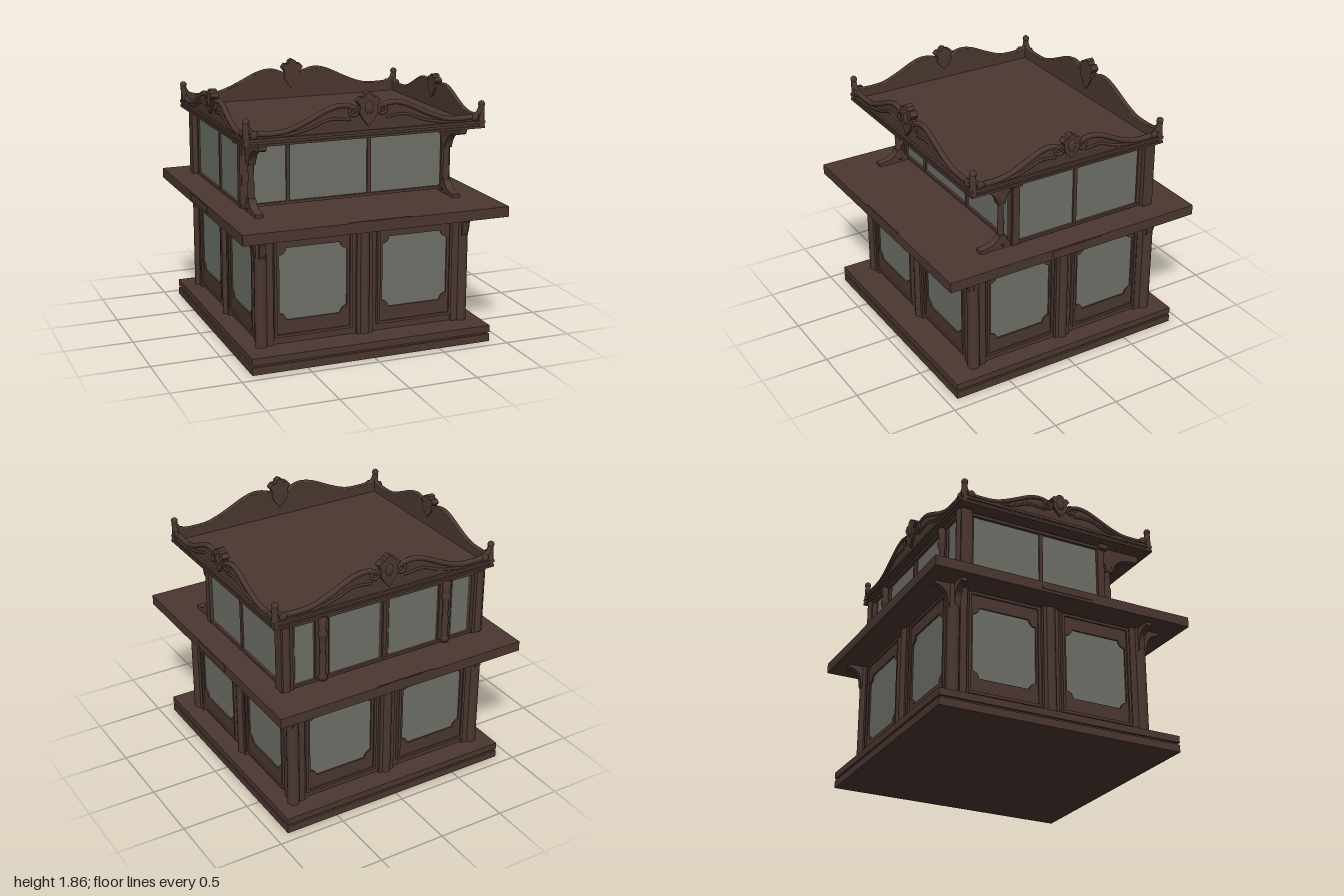
import * as THREE from 'three';

const wood = new THREE.MeshStandardMaterial({ color: 0x4b3730 });
wood.name = 'dark wood';
const glass = new THREE.MeshStandardMaterial({ color: 0x6e7068 });
glass.name = 'grey glass';

function add(parent, name, geo, x = 0, y = 0, z = 0, mat = wood) {
  const m = new THREE.Mesh(geo, mat);
  m.name = name;
  m.position.set(x, y, z);
  parent.add(m);
  return m;
}

// Box given by its limits
function block(parent, name, x0, x1, y0, y1, z0, z1, mat = wood) {
  return add(parent, name, new THREE.BoxGeometry(x1 - x0, y1 - y0, z1 - z0),
    (x0 + x1) / 2, (y0 + y1) / 2, (z0 + z1) / 2, mat);
}

// Group whose local +z points out of one side of the cabinet
function face(parent, name, angle, x, z) {
  const g = new THREE.Group();
  g.name = name;
  g.rotation.y = angle;
  g.position.set(x, 0, z);
  parent.add(g);
  return g;
}

function extrude(shape, depth, curveSegments = 8) {
  return new THREE.ExtrudeGeometry(shape, { depth, bevelEnabled: false, curveSegments });
}

function rectShape(w, y0, y1) {
  return new THREE.Shape([[-w, y0], [w, y0], [w, y1], [-w, y1]].map(p => new THREE.Vector2(...p)));
}

// Framed pane whose opening has scooped corners
function doorPanel(g, u, half, glassHalf) {
  const s = rectShape(half, -0.37, 0.37);
  const w = glassHalf, h = 0.26, r = 0.05, P = Math.PI, b = new THREE.Path();
  b.moveTo(-w + r, -h);
  b.lineTo(w - r, -h);
  b.absarc(w, -h, r, P, P / 2, true);
  b.lineTo(w, h - r);
  b.absarc(w, h, r, 1.5 * P, P, true);
  b.lineTo(-w + r, h);
  b.absarc(-w, h, r, 0, -P / 2, true);
  b.lineTo(-w, -h + r);
  b.absarc(-w, -h, r, P / 2, 0, true);
  s.holes.push(b);
  add(g, 'doorFrame', extrude(s, 0.02), u, 0.555, -0.01);
  block(g, 'doorGlass', u - w, u + w, 0.295, 0.815, -0.009, -0.001, glass);
  // Raised outer moulding
  const m = rectShape(half, 0.175, 0.925);
  m.holes.push(rectShape(half - 0.02, 0.195, 0.905));
  add(g, 'doorMoulding', extrude(m, 0.032), u, 0, -0.01);
}

// Curved bracket under the counter: flat against the wall, reaching out along local z
function counterBracket(g, u) {
  const s = new THREE.Shape();
  s.moveTo(0, 0.945);
  s.lineTo(0.14, 0.945);
  s.lineTo(0.14, 0.92);
  s.quadraticCurveTo(0.05, 0.91, 0.045, 0.82);
  s.quadraticCurveTo(0.045, 0.77, 0.015, 0.75);
  s.lineTo(0, 0.75);
  const m = add(g, 'counterBracket', extrude(s, 0.045), u - 0.0225, 0, 0);
  m.rotation.y = -Math.PI / 2;
  m.position.x = u + 0.0225;
}

// Serpentine cresting board with rim, scrolls and a central shield
function cresting(g, half, gain) {
  const pts = [[0.87, 1.72], [0.845, 1.66], [0.78, 1.635], [0.6, 1.638], [0.45, 1.69], [0.3, 1.76], [0.2, 1.785],
    [0.12, 1.772], [0.06, 1.73], [0, 1.725]].map(([x, y]) => [x * half / 0.87, 1.57 + (y - 1.57) * gain]);
  const line = [...pts.map(([x, y]) => [-x, y]), ...pts.slice(0, -1).reverse()];
  const top = new THREE.SplineCurve(line.map(p => new THREE.Vector2(...p))).getPoints(72);
  const s = new THREE.Shape([new THREE.Vector2(half, 1.56), ...top.slice().reverse(), new THREE.Vector2(-half, 1.56)].reverse());
  add(g, 'crestBoard', extrude(s, 0.025), 0, 0, -0.035);
  const path = new THREE.CatmullRomCurve3(top.filter((p, i) => i % 2 === 0).map(p => new THREE.Vector3(p.x, p.y - 0.008, -0.018)));
  add(g, 'crestRim', new THREE.TubeGeometry(path, 72, 0.019, 8), 0, 0, 0);
  // Shield
  const cy = 1.57 + 0.185 * gain;
  const sh = new THREE.Shape([[0, -0.13], [0.045, -0.075], [0.07, -0.03], [0.06, 0.01], [0.085, 0.045], [0.06, 0.075],
    [0.035, 0.07], [0.025, 0.095], [0, 0.108], [-0.025, 0.095], [-0.035, 0.07], [-0.06, 0.075], [-0.085, 0.045],
    [-0.06, 0.01], [-0.07, -0.03], [-0.045, -0.075]].map(([x, y]) => new THREE.Vector2(x * gain, y * (gain < 1 ? 0.75 : 1))));
  add(g, 'crestShield', extrude(sh, 0.055), 0, cy, -0.045);
  add(g, 'shieldBoss', new THREE.SphereGeometry(0.04, 14, 10), 0, cy, 0.005).scale.set(0.8, 1.2, 0.4);
  for (const d of [-1, 1]) {
    add(g, 'crestScroll', new THREE.TorusGeometry(0.03, 0.011, 8, 16), d * 0.105 * gain, cy - 0.02, -0.008);
    add(g, 'endRosette', new THREE.SphereGeometry(0.028, 12, 8), d * (half - 0.055), 1.625, -0.005).scale.z = 0.5;
    // Carved leaf sweep
    const sweep = new THREE.CatmullRomCurve3([[0.13, 1.68], [0.28, 1.69], [0.42, 1.64], [0.6, 1.605]]
      .map(([x, y]) => new THREE.Vector3(d * x * half / 0.87, 1.57 + (y - 1.57) * gain, -0.009)));
    add(g, 'carvedSweep', new THREE.TubeGeometry(sweep, 24, 0.01, 6), 0, 0, 0);
  }
}

// Slim turned column standing on the counter
function colonnette(g, x, z) {
  const p = [[0, 0], [0.032, 0], [0.032, 0.03], [0.022, 0.045], [0.026, 0.18], [0.019, 0.2], [0.022, 0.32], [0.034, 0.34],
    [0.036, 0.37], [0.024, 0.39], [0.034, 0.48], [0, 0.48]].map(q => new THREE.Vector2(...q));
  add(g, 'colonnette', new THREE.LatheGeometry(p, 16), x, 1.04, z);
}

export function createModel() {
  const root = new THREE.Group();
  root.name = 'cabinet';
  const H = Math.PI / 2;

  // Plinth
  block(root, 'plinthBase', -0.9, 0.9, 0, 0.055, -0.92, 0.92);
  block(root, 'plinthStep', -0.885, 0.885, 0.055, 0.07, -0.905, 0.905);
  block(root, 'plinthTop', -0.9, 0.9, 0.07, 0.12, -0.92, 0.92);

  // Lower body
  block(root, 'lowerCore', -0.76, 0.76, 0.12, 0.945, -0.76, 0.71);
  const lower = [['frontPanels', 0, 0, 0.72, 0.385, 0.29, 0.25, 0.765], ['backPanels', 2 * H, 0, -0.77, 0.385, 0.29, 0.25, 0.765],
    ['leftPanels', H, 0.77, -0.025, 0.36, 0.275, 0.24, 0.73], ['rightPanels', -H, -0.77, -0.025, 0.36, 0.275, 0.24, 0.73]];
  for (const [name, a, x, z, u, half, gh, corner] of lower) {
    const g = face(root, name, a, x, z);
    for (const d of [-1, 1]) {
      doorPanel(g, d * u, half, gh);
      counterBracket(g, d * corner);
      block(g, 'stile', d * (corner - 0.06) - 0.025, d * (corner - 0.06) + 0.025, 0.12, 0.945, -0.02, 0.012);
    }
    block(g, 'centrePost', -0.06, 0.06, 0.12, 0.945, -0.02, 0.015);
    add(g, 'centreColumn', new THREE.CylinderGeometry(0.035, 0.035, 0.82, 16), 0, 0.533, 0.005);
  }
  for (const x of [-0.765, 0.765]) for (const z of [-0.765, 0.71])
    add(root, 'cornerColumn', new THREE.CylinderGeometry(0.043, 0.043, 0.825, 18), x, 0.532, z);

  // Counter with thin edge plates
  block(root, 'counter', -0.98, 0.98, 0.945, 1.02, -1, 1);
  for (const d of [-1, 1]) {
    add(root, 'sideEdgePlate', new THREE.BoxGeometry(0.008, 0.05, 0.4), d * 0.981, 0.99, 0);
    add(root, 'endEdgePlate', new THREE.BoxGeometry(0.46, 0.012, 0.008), 0, 1.02, d * 0.995);
  }

  // Upper display case, raised on small pads
  block(root, 'upperCore', -0.77, 0.77, 1.035, 1.525, -0.71, 0.395);
  for (const x of [-0.49, 0, 0.49]) for (const z of [-0.5, 0.3]) {
    add(root, 'pad', new THREE.BoxGeometry(0.06, 0.02, 0.06), x, 1.027, z);
    add(root, 'topPad', new THREE.BoxGeometry(0.06, 0.025, 0.06), x, 1.535, z);
  }
  // Each side: position, half width, panes and bars
  const upper = [
    ['frontCase', 0, 0, 0.4, 0.8, [[-0.73, -0.46], [-0.44, 0.15], [0.18, 0.73]], [-0.45, 0.165]],
    ['backCase', 2 * H, 0, -0.715, 0.8, [[-0.71, -0.57], [-0.44, -0.04], [0.04, 0.44], [0.57, 0.71]], [-0.54, -0.47, 0, 0.47, 0.54]],
    ['leftCase', H, 0.78, 0, 0.74, [[-0.4, 0.09], [0.11, 0.63]], [-0.405, 0.1, 0.645]],
    ['rightCase', -H, -0.78, 0, 0.74, [[-0.63, -0.11], [-0.09, 0.4]], [-0.645, -0.1, 0.405]]];
  for (const [name, a, x, z, w, panes, bars] of upper) {
    const g = face(root, name, a, x, z);
    const lo = a === H ? -0.41 : -w, hi = a === -H ? 0.41 : w;
    for (const [p, q] of panes) block(g, 'caseGlass', p, q, 1.055, 1.51, -0.008, 0, glass);
    for (const b of bars) block(g, 'caseBar', b - 0.014, b + 0.014, 1.045, 1.52, -0.02, 0.012);
    block(g, 'bottomRail', lo, hi, 1.035, 1.055, -0.03, 0.018);
    block(g, 'topRail', lo, hi, 1.508, 1.53, -0.03, 0.022);
  }
  for (const d of [-1, 1]) {
    block(root, 'backPost', d * 0.785 - 0.045, d * 0.785 + 0.045, 1.035, 1.535, -0.745, -0.66);
    add(root, 'backPostBead', new THREE.CylinderGeometry(0.03, 0.03, 0.49, 14), d * 0.79, 1.285, -0.735);
    block(root, 'frontPost', d * 0.77 - 0.035, d * 0.77 + 0.035, 1.035, 1.53, 0.36, 0.415);
    block(root, 'postCap', d * 0.81 - 0.03, d * 0.81 + 0.03, 1.5, 1.535, 0.36, 0.43);
    colonnette(root, d * 0.745, 0.475);
    colonnette(root, d * 0.505, -0.735);

    // Curved arm carrying the roof and its scrolled foot
    const arm = new THREE.Shape();
    arm.moveTo(0.41, 1.545);
    arm.lineTo(0.73, 1.545);
    arm.lineTo(0.73, 1.505);
    arm.quadraticCurveTo(0.7, 1.485, 0.66, 1.49);
    arm.quadraticCurveTo(0.53, 1.48, 0.505, 1.36);
    arm.lineTo(0.45, 1.36);
    arm.quadraticCurveTo(0.45, 1.42, 0.41, 1.45);
    const foot = new THREE.Shape();
    foot.moveTo(0.41, 1.02);
    foot.lineTo(0.65, 1.02);
    foot.lineTo(0.65, 1.045);
    foot.quadraticCurveTo(0.52, 1.05, 0.5, 1.12);
    foot.lineTo(0.45, 1.12);
    foot.quadraticCurveTo(0.45, 1.07, 0.41, 1.06);
    for (const [n, s] of [['roofArm', arm], ['armFoot', foot]])
      add(root, n, extrude(s, 0.055), d * 0.745 + 0.0275, 0, 0).rotation.y = -H;
  }

  // Cornice, roof and cresting
  block(root, 'corniceBase', -0.89, 0.89, 1.545, 1.562, -0.765, 0.78);
  for (const [y0, y1, o] of [[1.56, 1.578, 0.01], [1.578, 1.598, 0]]) {
    const s = rectShape(0.89 - o, -0.7725 + o, 0.7725 - o);
    s.holes.push(rectShape(0.85, -0.7325, 0.7325));
    const m = add(root, 'corniceMoulding', extrude(s, y1 - y0), 0, y0, 0.0075);
    m.rotation.x = -H;
  }
  cresting(face(root, 'frontCrest', 0, 0, 0.775), 0.87, 1);
  cresting(face(root, 'backCrest', 2 * H, 0, -0.76), 0.87, 1);
  cresting(face(root, 'leftCrest', H, 0.885, 0.0075), 0.755, 0.87);
  cresting(face(root, 'rightCrest', -H, -0.885, 0.0075), 0.755, 0.87);
  for (const x of [-0.868, 0.868]) for (const z of [-0.743, 0.758]) {
    add(root, 'cornerStub', new THREE.CylinderGeometry(0.02, 0.024, 0.15, 12), x, 1.635, z);
    add(root, 'cornerKnob', new THREE.SphereGeometry(0.025, 12, 8), x, 1.715, z);
  }
  return root;
}
